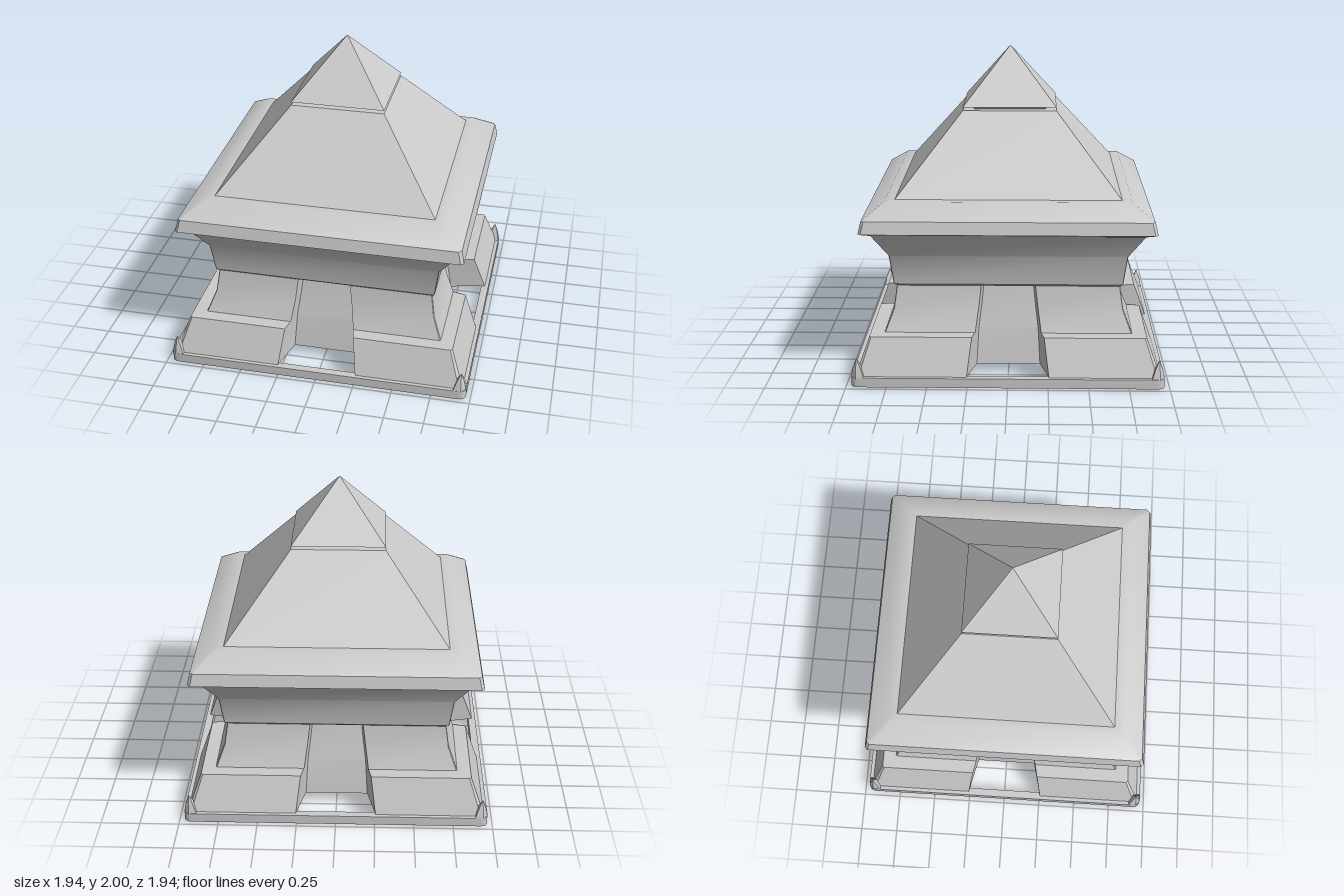
import * as THREE from 'three';
import { toCreasedNormals } from 'three/addons/utils/BufferGeometryUtils.js';

const material = new THREE.MeshStandardMaterial({ color: 0xcccccc, side: THREE.DoubleSide });
const CREASE = 0.65;

// Surface through rows of points, rows running upwards, points left to right seen from outside
function grid(rows) {
  const w = rows[0].length, index = [];
  for (let i = 0; i < rows.length - 1; i++) {
    for (let j = 0; j < w - 1; j++) {
      const a = i * w + j, b = a + 1, c = b + w, d = a + w;
      index.push(a, b, c, a, c, d);
    }
  }
  const g = new THREE.BufferGeometry();
  g.setAttribute('position', new THREE.Float32BufferAttribute(rows.flat(2), 3));
  g.setIndex(index);
  return toCreasedNormals(g, CREASE);
}

// Closed square outline of half width d with corners cut by c
function squareLoop(y, d, c) {
  const e = d - c;
  const p = [[-e, d], [e, d], [d, e], [d, -e], [e, -d], [-e, -d], [-d, -e], [-d, e], [-e, d]];
  return p.map(([x, z]) => [x, y, z]);
}

function add(parent, name, geometry, turn = 0) {
  const mesh = new THREE.Mesh(geometry, material);
  mesh.name = name;
  mesh.rotation.y = turn;
  parent.add(mesh);
  return mesh;
}

// Four-sided block given by the half widths of its ends
function frustum(top, bottom, y0, y1) {
  const g = new THREE.CylinderGeometry(top * Math.SQRT2, bottom * Math.SQRT2, y1 - y0, 4);
  g.rotateY(Math.PI / 4).translate(0, (y0 + y1) / 2, 0);
  return toCreasedNormals(g, 0.3);
}

function baseRimGeometry() {
  const d = 0.97, r = 0.05, i = 0.92;
  const shape = new THREE.Shape();
  shape.moveTo(-d + r, -d);
  [[d, -d, d, -d + r], [d, d, d - r, d], [-d, d, -d, d - r], [-d, -d, -d + r, -d]].forEach(([cx, cy, x, y], k) => {
    const before = [[d - r, -d], [d, d - r], [-d + r, d], [-d, -d + r]][k];
    shape.lineTo(...before);
    shape.quadraticCurveTo(cx, cy, x, y);
  });
  shape.holes.push(new THREE.Path([[-i, -i], [-i, i], [i, i], [i, -i]].map(p => new THREE.Vector2(...p))));
  const g = new THREE.ExtrudeGeometry(shape, { depth: 0.06, bevelEnabled: false, curveSegments: 5 });
  g.rotateX(-Math.PI / 2);
  return toCreasedNormals(g, CREASE);
}

// Small pointed horn standing on a corner of the rim
function hornGeometry() {
  const rows = [[0.05, 0.887, 0.97, 0.03], [0.115, 0.908, 0.958, 0.02], [0.175, 0.934, 0.936, 0.0005]];
  return grid(rows.map(([y, a, b, c]) =>
    [[a, a], [a, b], [b - c, b], [b, b - c], [b, a], [a, a]].map(([x, z]) => [x, y, z])));
}

export function createModel() {
  const model = new THREE.Group();
  model.name = 'pyramidRoofedTower';

  // Leg profile: height, half width, half doorway, corner cut, then recess height, half width, half doorway
  const legs = [
    [0.06, 0.945, 0.255, 0.02, 0.06, 0.71, 0.2],
    [0.29, 0.862, 0.225, 0.012, 0.28, 0.675, 0.188],
    [0.29, 0.775, 0.207, 0.006, 0.3, 0.67, 0.186],
    [0.43, 0.72, 0.187, 0.004, 0.43, 0.635, 0.17],
    [0.575, 0.7, 0.17, 0.004, 0.575, 0.61, 0.155],
  ];
  const legGeometry = grid(legs.map(([y, d, g, c]) =>
    [[g, y, d], [d - c, y, d], [d, y, d - c], [d, y, g]]));
  const doorwayGeometry = grid(legs.map(([y, d, g, , py, pd, pg]) =>
    [[-g, y, d], [-pg, py, pd], [pg, py, pd], [g, y, d]]));
  const soffitGeometry = grid([
    [[-0.155, 0.575, 0.61], [0.155, 0.575, 0.61]],
    [[-0.17, 0.575, 0.7], [0.17, 0.575, 0.7]],
  ]);
  const horn = hornGeometry();

  // Base frame, open in the middle
  add(model, 'baseRim', baseRimGeometry());

  // Corner legs with recessed doorways between them
  for (let k = 0; k < 4; k++) {
    const turn = k * Math.PI / 2;
    add(model, 'cornerLeg', legGeometry, turn);
    add(model, 'recessedDoorway', doorwayGeometry, turn);
    add(model, 'doorwaySoffit', soffitGeometry, turn);
    add(model, 'cornerHorn', horn, turn);
  }

  // Flaring upper wall
  add(model, 'upperWall', grid([
    [0.575, 0.7, 0.004], [0.59, 0.717, 0.004], [0.78, 0.743, 0.004], [0.935, 0.842, 0.004],
  ].map(p => squareLoop(...p))));

  // Overhanging eaves
  add(model, 'eaves', grid([
    [0.935, 0.842, 0.004], [0.96, 0.911, 0.018], [1.038, 0.893, 0.018], [1.13, 0.762, 0.015], [1.13, 0.69, 0.01],
  ].map(p => squareLoop(...p))));

  // Pyramid roof split by a groove
  add(model, 'roof', frustum(0.3, 0.702, 1.13, 1.615));
  add(model, 'roofGroove', frustum(0.242, 0.228, 1.615, 1.636));
  add(model, 'capstone', frustum(0, 0.3, 1.636, 2));

  return model;
}
